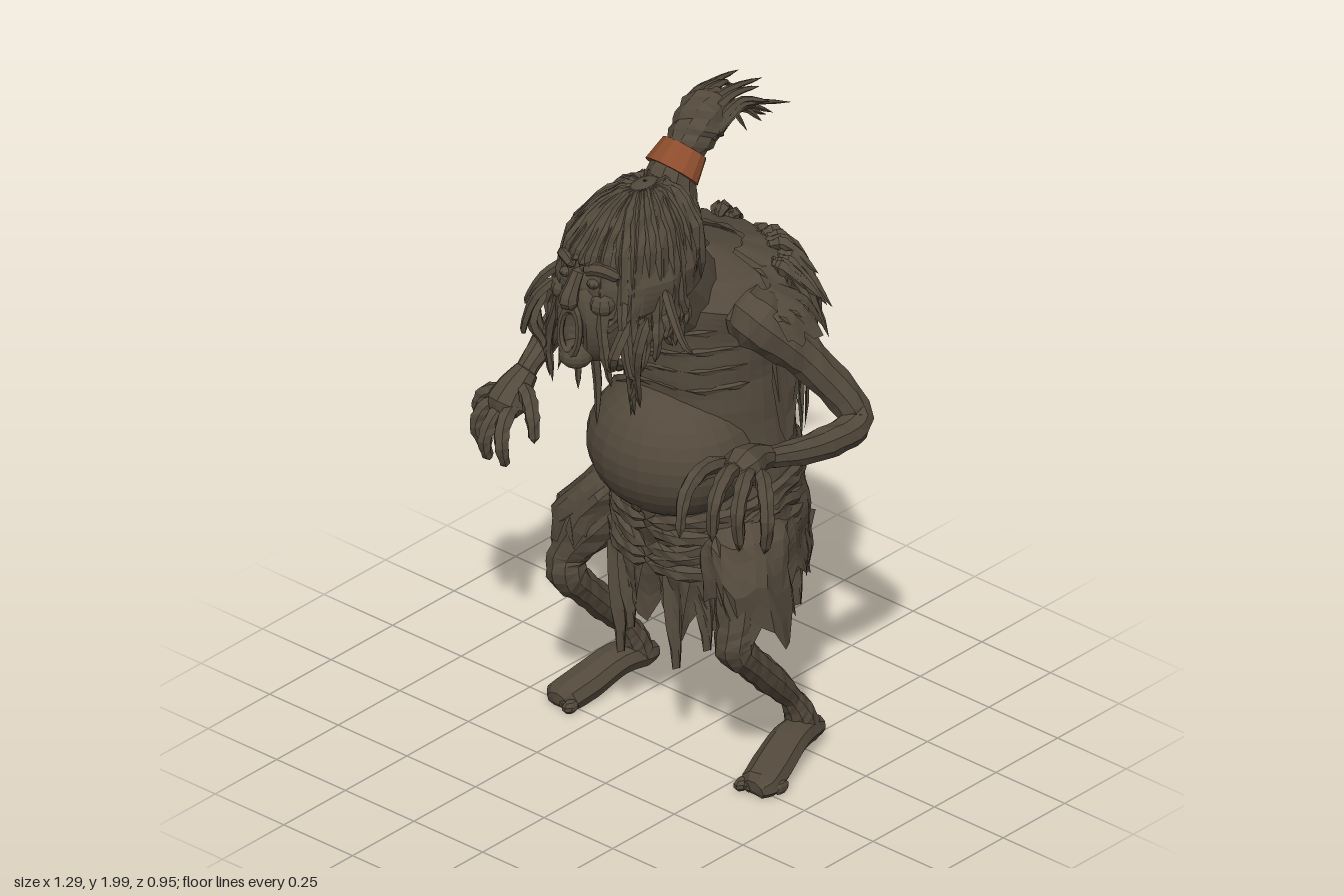
import * as THREE from 'three';
import { mergeGeometries } from 'three/addons/utils/BufferGeometryUtils.js';

const hide = new THREE.MeshStandardMaterial({ color: 0x53493c, side: THREE.DoubleSide });
hide.name = 'dark brown hide';
const rust = new THREE.MeshStandardMaterial({ color: 0x8b4c2c, side: THREE.DoubleSide });
rust.name = 'rust';

let seed = 7;
const rnd = (a = 0, b = 1) => {
  seed = (seed * 16807) % 2147483647;
  return a + (b - a) * seed / 2147483647;
};
const lerp = THREE.MathUtils.lerp;

export function createModel() {
  const model = new THREE.Group();
  const add = (name, geos, mat = hide) => {
    const list = [].concat(geos).map(g => (g.index ? g.toNonIndexed() : g));
    const geo = mergeGeometries(list);
    geo.computeVertexNormals(); // faceted
    const m = new THREE.Mesh(geo, mat);
    m.name = name;
    model.add(m);
  };

  // Tapered tube through points [x, y, z, radius]; both ends close
  const limb = (pts, sides = 7, per = 4, flat = 1, lump = 0) => {
    const curve = new THREE.CatmullRomCurve3(pts.map(p => new THREE.Vector3(p[0], p[1], p[2])));
    curve.getPointAt = curve.getPoint;
    curve.getTangentAt = curve.getTangent;
    const n = (pts.length - 1) * per;
    const g = new THREE.TubeGeometry(curve, n, 1, sides);
    const P = g.attributes.position, N = g.attributes.normal;
    for (let k = 0; k < P.count; k++) {
      const i = Math.floor(k / (sides + 1)), s = k % (sides + 1) % sides;
      const f = Math.min(i / per, pts.length - 1.0001), q = Math.floor(f);
      let r = lerp(pts[q][3], pts[q + 1][3], f - q) * (1 + lump * Math.sin(i * 2.3 + s * 1.9));
      if (i === 0 || i === n) r = 0;
      const nx = N.getX(k), ny = N.getY(k), nz = N.getZ(k);
      const y = P.getY(k) - ny + ny * r * flat;
      P.setXYZ(k, P.getX(k) - nx + nx * r, Math.max(0.004, y), P.getZ(k) - nz + nz * r);
    }
    return g;
  };

  // Grid surface from fn(u, v) -> [x, y, z]
  const grid = (nu, nv, fn) => {
    const pos = [], idx = [];
    for (let j = 0; j <= nv; j++) for (let i = 0; i <= nu; i++) pos.push(...fn(i / nu, j / nv));
    for (let j = 0; j < nv; j++) for (let i = 0; i < nu; i++) {
      const a = j * (nu + 1) + i, c = a + nu + 1;
      idx.push(a, a + 1, c, a + 1, c + 1, c);
    }
    const g = new THREE.BufferGeometry();
    g.setAttribute('position', new THREE.Float32BufferAttribute(pos, 3));
    g.setIndex(idx);
    return g;
  };

  // Point on stacked rings [x, y, z, rx, rz, power]; angle 0 faces the front, power below 1 squares the ring
  const pow = (w, p) => Math.sign(w) * Math.abs(w) ** p;
  const onRings = (rings, a, v, fold = 0, n = 9) => {
    const f = Math.min(v * (rings.length - 1), rings.length - 1.0001), q = Math.floor(f);
    const [x, y, z, rx, rz, p = 1] = rings[q].map((w, k) => lerp(w, rings[q + 1][k], f - q));
    const s = 1 + fold * (Math.sin(n * a + y * 9) + 0.6 * Math.sin(3 * a - y * 41));
    return [x + rx * s * pow(Math.sin(a), p), y, z + rz * s * pow(Math.cos(a), p)];
  };
  const loft = (rings, nu, nv, fold, n) => grid(nu, nv, (u, v) => onRings(rings, u * Math.PI * 2, v, fold, n));
  // Hanging cloth with a torn hem; rings run downward, len(a) says how far it hangs
  const drape = (rings, a0, a1, nu, nv, len, fold = 0.03, n = 11) => {
    const cut = Array.from({ length: nu + 1 }, (_, i) => len(lerp(a0, a1, i / nu)) * (i % 4 ? rnd(0.86, 1) : rnd(0.74, 0.88)));
    return grid(nu, nv, (u, v) => onRings(rings, lerp(a0, a1, u), (1 - v) * cut[Math.round(u * nu)], fold, n));
  };
  const ball = (x, y, z, rx, ry, rz, s = 12) => new THREE.SphereGeometry(1, s, Math.ceil(s * 0.7)).scale(rx, ry, rz).translate(x, y, z);

  // Hunched torso and belly
  const torso = [[0, 0.66, -0.17, 0.01, 0.01], [0, 0.7, -0.17, 0.24, 0.2], [0, 0.85, -0.17, 0.262, 0.225], [0, 1.0, -0.17, 0.245, 0.225],
    [0, 1.2, -0.17, 0.23, 0.225], [0, 1.35, -0.165, 0.235, 0.215], [0, 1.43, -0.15, 0.25, 0.195], [0, 1.49, -0.15, 0.2, 0.15], [0, 1.53, -0.14, 0.02, 0.02]];
  add('torso', loft(torso, 36, 36, 0.012, 7));
  add('belly', ball(0, 0.965, -0.02, 0.245, 0.2, 0.22, 24));
  add('navel', new THREE.TorusGeometry(0.012, 0.005, 5, 8).rotateX(0.7).translate(0.02, 0.83, 0.148));

  // Neck and head
  add('neck', limb([[0, 1.34, -0.14, 0.14], [0, 1.43, -0.03, 0.14], [0, 1.52, 0.05, 0.145], [0, 1.58, 0.15, 0.13], [0, 1.6, 0.2, 0.1]], 12));
  const head = [[0, 1.42, 0.2, 0.01, 0.01], [0, 1.46, 0.18, 0.12, 0.14], [0, 1.54, 0.155, 0.175, 0.23], [0, 1.62, 0.155, 0.178, 0.22],
    [0, 1.72, 0.135, 0.138, 0.195], [0, 1.785, 0.115, 0.085, 0.14], [0, 1.815, 0.1, 0.045, 0.085], [0, 1.825, 0.09, 0.005, 0.005]];
  add('head', loft(head, 30, 28, 0.025, 13));
  // Face, sunk in around the open mouth
  const face = ball(0, 1.51, 0.295, 0.105, 0.15, 0.11, 30);
  const F = face.attributes.position;
  for (let i = 0; i < F.count; i++) {
    const x = F.getX(i), y = F.getY(i);
    if (F.getZ(i) > 0.3) F.setZ(i, F.getZ(i) - 0.07 * Math.exp(-((x / 0.03) ** 2) - ((y - 1.49) / 0.06) ** 2));
  }
  add('face', face);
  add('lips', new THREE.TorusGeometry(0.04, 0.011, 6, 16).scale(0.85, 1.75, 1).rotateX(-0.12).translate(0, 1.485, 0.395));
  add('chin', ball(0, 1.405, 0.37, 0.05, 0.04, 0.05));
  add('nose', limb([[0, 1.67, 0.355, 0.018], [0, 1.62, 0.385, 0.022], [0, 1.585, 0.4, 0.03], [0, 1.565, 0.385, 0.02]], 7));
  for (const s of [-1, 1]) {
    add('brow', limb([[s * 0.015, 1.665, 0.36, 0.015], [s * 0.06, 1.68, 0.345, 0.02], [s * 0.11, 1.65, 0.305, 0.015]], 6));
    add('eye', ball(s * 0.05, 1.635, 0.355, 0.02, 0.014, 0.018, 8));
    add('cheek', ball(s * 0.07, 1.575, 0.34, 0.04, 0.035, 0.04, 9));
  }

  // Matted hair over the skull, falling in strands beside the face
  const locks = [];
  for (let i = 0; i < 60; i++) {
    const a = (i / 60 - 0.5) * Math.PI * 2 + rnd(-0.08, 0.08), A = Math.abs(a);
    const low = A < 0.45 ? 0.5 : rnd(0.22, 0.3), lift = rnd(0.97, 1.02), r = rnd(0.012, 0.02);
    const pts = [0.93, 0.75, 0.55, low].map(v => {
      const p = onRings(head, a + rnd(-0.04, 0.04), v);
      return [p[0] * lift, p[1], 0.15 + (p[2] - 0.15) * lift, r];
    });
    if (A > 0.4 && A < 1.9) {
      const e = pts[3], drop = rnd(0.08, A < 1.3 ? 0.3 : 0.16), out = rnd(-0.03, 0.05);
      pts.push([e[0] + Math.sign(a) * out + rnd(-0.02, 0.02), e[1] - drop * 0.5, e[2] + rnd(-0.02, 0.03), 0.014]);
      pts.push([e[0] + Math.sign(a) * out * rnd(0, 1.6), e[1] - drop, e[2] + rnd(-0.03, 0.03), 0.006]);
    }
    locks.push(limb(pts, 5, 3, 1, 0.2));
  }
  for (const [x, y, z] of [[-0.05, 1.1, 0.22], [-0.1, 1.2, 0.24], [0.1, 1.2, 0.25], [0.14, 1.28, 0.3], [-0.15, 1.25, 0.3], [0.12, 1.4, 0.37], [-0.11, 1.38, 0.37]])
    locks.push(limb([[x * 1.3, 1.55, z * 0.6 + 0.1, 0.018], [x * 1.3, 1.46, z + 0.02, 0.017], [x * 1.1, y * 0.6 + 0.57, z, 0.013], [x, y, z + 0.01, 0.005]], 5, 3));
  // Stray locks curling outward
  for (const [x, y, z] of [[0.3, 1.5, 0.23], [-0.24, 1.48, 0.3], [-0.23, 1.52, 0.2], [0.19, 1.42, 0.34], [-0.16, 1.46, 0.4]])
    locks.push(limb([[x * 0.55, 1.6, z * 0.85, 0.015], [x * 0.75, 1.55, z, 0.014], [x * 0.95, y - 0.02, z + 0.015, 0.01], [x, y - 0.04, z, 0.004]], 5, 3));
  add('hair', locks);

  // Topknot, swept back, with its band
  add('topknot base', limb([[0, 1.66, 0.03, 0.11], [0, 1.74, 0.0, 0.085], [0, 1.81, -0.02, 0.065], [0, 1.86, -0.08, 0.05]], 10));
  add('hair band', new THREE.CylinderGeometry(0.07, 0.085, 0.075, 14, 1).scale(1, 1, 0.85).rotateX(-0.8).translate(0, 1.833, -0.045), rust);
  const tail = [limb([[0, 1.84, -0.05, 0.05], [0, 1.885, -0.1, 0.065], [0, 1.925, -0.15, 0.075], [0, 1.935, -0.21, 0.055], [0, 1.935, -0.26, 0.02]], 10, 4, 1, 0.06)];
  for (let i = 0; i < 16; i++) {
    const a = i * 2.4, x = Math.cos(a) * 0.045, y = Math.sin(a) * 0.03, L = rnd(0.28, 0.4);
    tail.push(limb([[x, 1.88 + y, -0.1, 0.014], [x * 1.5, 1.935 + y * 1.4, -0.17, 0.015],
      [x * 1.5, 1.95 + y * 1.1, -0.24, 0.011], [x * 2 + rnd(-0.03, 0.03), 1.915 + y * 2.2 + rnd(-0.04, 0.01), -L, 0.004]], 5, 3));
  }
  add('topknot hair', tail);

  // Arms
  add('right arm', limb([[-0.18, 1.43, -0.12, 0.07], [-0.26, 1.4, -0.13, 0.085], [-0.38, 1.32, -0.21, 0.055], [-0.505, 1.17, -0.275, 0.045],
    [-0.525, 1.09, -0.16, 0.046], [-0.52, 1.0, -0.02, 0.03], [-0.525, 0.95, 0.03, 0.035]], 9, 5, 1, 0.05));
  add('left arm', limb([[0.18, 1.43, -0.09, 0.07], [0.25, 1.4, -0.1, 0.085], [0.35, 1.28, -0.185, 0.058], [0.465, 1.11, -0.25, 0.048],
    [0.475, 1.1, -0.1, 0.045], [0.46, 1.14, 0.1, 0.03], [0.46, 1.16, 0.15, 0.035]], 9, 5, 1, 0.05));
  // Fingers as [base, knuckle, middle joint, tip]
  const hand = (side, palm, fingers) => {
    add(side + ' palm', limb(palm, 9));
    add(side + ' fingers', fingers.map(f => limb(f.map((p, i) => [...p, [0.022, 0.024, 0.021, 0.013][i]]), 6, 4, 1, 0.1)));
  };
  hand('left', [[0.46, 1.14, 0.09, 0.03], [0.46, 1.16, 0.16, 0.045], [0.48, 1.17, 0.23, 0.06], [0.49, 1.17, 0.29, 0.035]], [
    [[0.43, 1.15, 0.17], [0.39, 1.14, 0.24], [0.36, 1.11, 0.3], [0.35, 1.04, 0.34]], [[0.44, 1.17, 0.23], [0.44, 1.2, 0.34], [0.46, 1.17, 0.44], [0.47, 1.05, 0.475]],
    [[0.48, 1.18, 0.25], [0.51, 1.2, 0.33], [0.54, 1.16, 0.41], [0.54, 1.04, 0.42]], [[0.51, 1.17, 0.23], [0.55, 1.18, 0.3], [0.58, 1.12, 0.36], [0.58, 1.0, 0.35]],
    [[0.52, 1.16, 0.2], [0.58, 1.15, 0.25], [0.62, 1.08, 0.285], [0.605, 0.97, 0.28]]]);
  // Rusty inner fingertips
  add('left claws', [[0.61, 1.07, 0.27, 0.595, 0.96], [0.575, 1.1, 0.345, 0.57, 0.99]].map(([x, y, z, tx, ty]) =>
    limb([[x, y, z, 0.014], [x - 0.005, (y + ty) / 2, z - 0.005, 0.017], [tx, ty, z, 0.008]], 5, 3)), rust);
  hand('right', [[-0.515, 1.0, -0.02, 0.03], [-0.525, 0.95, 0.03, 0.05], [-0.53, 0.91, 0.06, 0.06], [-0.53, 0.87, 0.08, 0.03]], [
    [[-0.5, 0.96, 0.03], [-0.45, 0.95, 0.06], [-0.41, 0.92, 0.09], [-0.395, 0.85, 0.1]], [[-0.5, 0.92, 0.06], [-0.48, 0.89, 0.13], [-0.46, 0.84, 0.16], [-0.46, 0.77, 0.14]],
    [[-0.53, 0.91, 0.06], [-0.53, 0.88, 0.12], [-0.53, 0.83, 0.15], [-0.53, 0.76, 0.13]], [[-0.55, 0.92, 0.05], [-0.58, 0.89, 0.1], [-0.59, 0.84, 0.115], [-0.575, 0.77, 0.1]],
    [[-0.56, 0.93, 0.04], [-0.61, 0.91, 0.055], [-0.63, 0.86, 0.06], [-0.615, 0.79, 0.05]]]);

  // Legs and feet: side, knee x, ankle x, foot splay
  for (const [s, knee, ankle, splay] of [[-1, 0.33, 0.34, 0.03], [1, 0.28, 0.265, 0.08]]) {
    const side = s < 0 ? 'right ' : 'left ';
    add(side + 'leg', limb([[s * 0.14, 0.78, -0.14, 0.1], [s * 0.24, 0.65, -0.03, 0.085], [s * knee, 0.51, 0.03, 0.056], [s * knee, 0.45, 0.04, 0.056],
      [s * knee, 0.38, -0.02, 0.046], [s * (knee + ankle) / 2, 0.28, -0.115, 0.046], [s * ankle, 0.18, -0.205, 0.032], [s * ankle, 0.12, -0.24, 0.044], [s * ankle, 0.05, -0.26, 0.05]], 9, 4, 1, 0.05));
    const toeX = ankle + splay;
    add(side + 'foot', limb([[s * ankle, 0.045, -0.325, 0.03], [s * ankle, 0.06, -0.27, 0.05], [s * (ankle + splay * 0.3), 0.072, -0.18, 0.055],
      [s * (ankle + splay * 0.7), 0.045, -0.07, 0.06], [s * toeX, 0.028, 0.01, 0.058], [s * toeX, 0.022, 0.04, 0.03]], 9, 4, 0.8));
    const toes = [];
    for (let i = 0; i < 5; i++) toes.push(ball(s * (toeX - 0.045 + i * 0.023), 0.024, 0.03 - i * 0.014, 0.019 - i * 0.0015, 0.02, 0.03, 7));
    add(side + 'toes', toes);

    // Torn cloth over the thigh
    const tx = s * (s < 0 ? 0.3 : 0.25);
    add(side + 'thigh cloth', drape([[s * 0.16, 0.82, -0.12, 0.04, 0.05], [s * 0.21, 0.75, -0.08, 0.11, 0.13], [tx, 0.64, -0.04, 0.11, 0.125], [tx + s * 0.01, 0.42, -0.06, 0.12, 0.12]],
      0, Math.PI * 2, 24, 8, a => 0.88 + 0.1 * s * Math.sin(a), 0.05, 7));
    // Torn sleeve, longer and hanging on the right
    add(side + 'sleeve', drape([[s * 0.2, 1.48, -0.13, 0.04, 0.05], [s * 0.26, 1.44, -0.14, 0.09, 0.1], [s * 0.31, 1.35, -0.16, 0.09, 0.11], [s * 0.34, 1.12, -0.16, 0.07, 0.1]],
      s > 0 ? 0.9 : 2.2, s > 0 ? 4 : 6, 20, 8, a => s > 0 ? 0.62 : 0.75 + 0.25 * Math.cos(a - 5.2), 0.05, 7));
  }

  // Skirt: long tatters at front and back, short at the sides
  const skirt = [[0, 0.88, -0.17, 0.262, 0.23, 0.95], [0, 0.75, -0.17, 0.275, 0.23, 0.9], [0, 0.6, -0.18, 0.28, 0.22, 0.85], [0, 0.45, -0.185, 0.28, 0.215, 0.85], [0, 0.28, -0.185, 0.27, 0.21, 0.85]];
  add('skirt', drape(skirt, 0, Math.PI * 2, 60, 14, a => 0.62 + 0.27 * Math.cos(a) ** 2, 0.03, 9));
  const strips = [];
  for (const [x, z, y] of [[-0.15, 0.02, 0.26], [-0.1, 0.035, 0.36], [0.07, 0.04, 0.3], [0.16, 0.015, 0.38], [-0.13, -0.385, 0.33], [0.04, -0.4, 0.36], [0.13, -0.385, 0.34], [-0.19, -0.36, 0.42]])
    strips.push(grid(4, 6, (u, v) => [x + (u - 0.5) * 0.12 * Math.max(v, 0.05) ** 0.7, lerp(y, 0.66, v), z + 0.012 * Math.sin(u * 6 + v * 4)]));
  add('skirt tatters', strips);

  // Rolled cloth slung under the belly and round the waist
  const rolls = [];
  for (let k = 0; k < 5; k++) {
    const pts = [];
    for (let i = 0; i <= 16; i++) {
      const a = i / 16 * Math.PI * 2, c = Math.max(0, Math.cos(a));
      pts.push([0.262 * Math.sin(a), 0.88 - k * 0.042 - c * (0.12 - k * 0.005) + 0.014 * Math.sin(a * 3 + k * 2), -0.17 + 0.225 * Math.cos(a) + c * 0.03, 0.018]);
    }
    rolls.push(limb(pts, 6, 3, 1.3, 0.2));
  }
  add('waist wrap', rolls);
  // Shirt hem creasing above the belly
  add('shirt folds', [0, 1, 2, 3].map(k => limb([[-0.24, 1.02 + k * 0.05, -0.1, 0.015], [-0.18, 1.09 + k * 0.05, 0.0, 0.017],
    [-0.04, 1.17 + k * 0.045, 0.045, 0.013], [0.12, 1.18 + k * 0.06, 0.015, 0.013], [0.22, 1.2 + k * 0.06, -0.09, 0.01]], 5, 5, 1, 0.2)));

  // Ragged shawl down the square back, in two layers with loose strands
  const shawl = [[0, 1.535, -0.16, 0.1, 0.08, 0.9], [0, 1.51, -0.165, 0.2, 0.155, 0.85], [0, 1.42, -0.17, 0.26, 0.205, 0.82], [0, 1.2, -0.17, 0.26, 0.23, 0.8], [0, 0.95, -0.17, 0.265, 0.232, 0.85]];
  add('shawl', [drape(shawl, 1.5, 4.8, 45, 12, () => 1, 0.025, 13),
    drape(shawl.map(r => [r[0], r[1] + 0.005, r[2], r[3] * 1.04, r[4] * 1.07, r[5]]), 1.6, 4.7, 39, 10, () => 0.72, 0.05, 10)]);
  const rags = [];
  for (let i = 0; i < 46; i++) {
    const a = rnd(1.75, 4.55), v0 = rnd(0.15, 0.5), L = rnd(0.1, 0.24), p = onRings(shawl, a, v0), q = onRings(shawl, a, v0 + L * 0.6);
    const e = onRings(shawl, a + rnd(-0.1, 0.1), Math.min(1, v0 + L * 1.6)), k = rnd(1.08, 1.32);
    rags.push(limb([[...p, 0.013], [q[0] * 1.05, q[1] + 0.02, -0.17 + (q[2] + 0.17) * 1.12, 0.02], [e[0] * k, e[1], -0.17 + (e[2] + 0.17) * k, 0.006]], 5, 4, 1, 0.2));
  }
  add('shawl strands', rags);
  return model;
}
